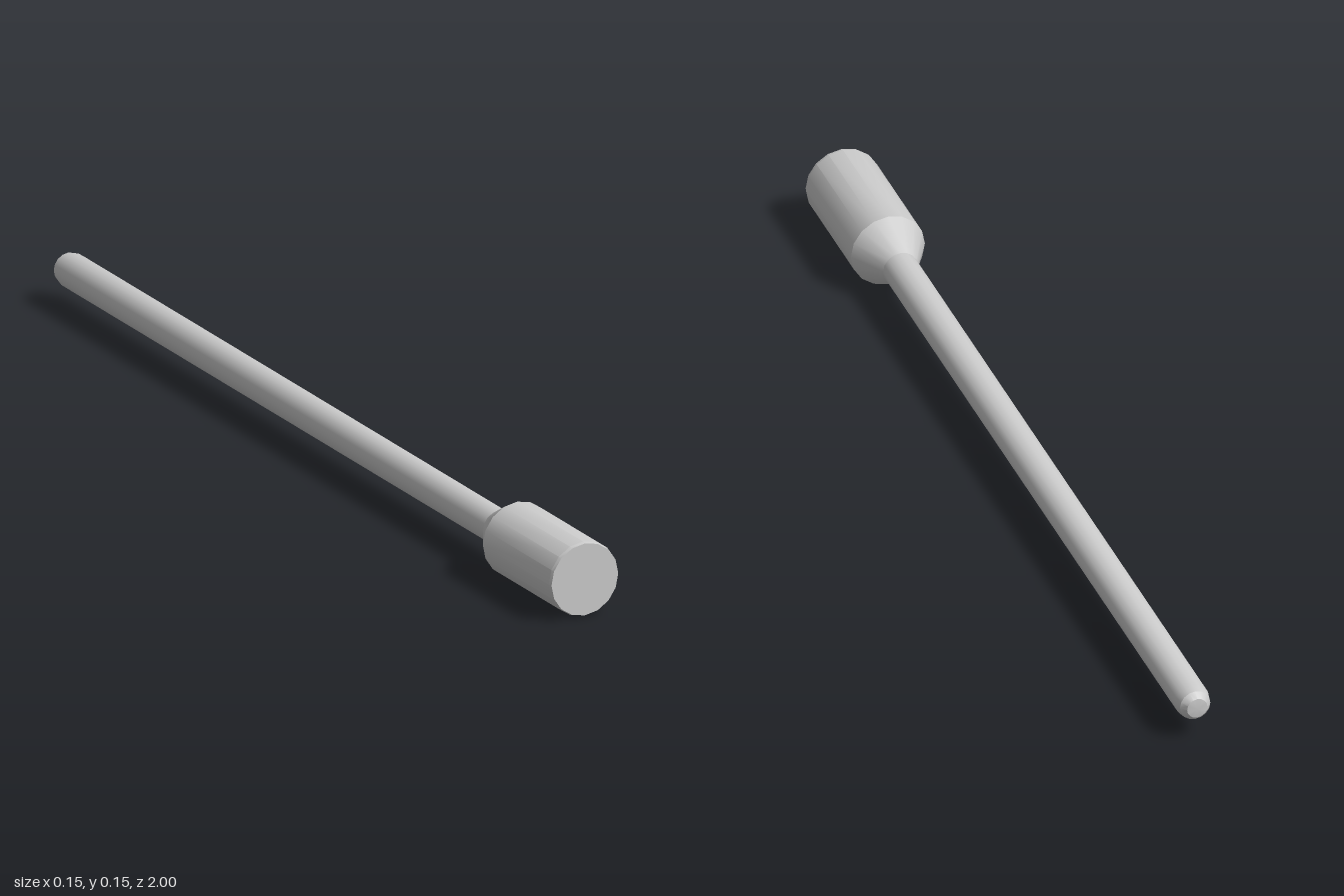
import * as THREE from 'three';
import { toCreasedNormals } from 'three/addons/utils/BufferGeometryUtils.js';

const SIDES = 16;

// Turned part along z, profile given as [radius, z] from back to front
function turned(name, profile, material) {
  const points = profile.map(([r, z]) => new THREE.Vector2(r, z));
  const geometry = new THREE.LatheGeometry(points, SIDES);
  geometry.rotateX(Math.PI / 2);
  const mesh = new THREE.Mesh(toCreasedNormals(geometry, 0.45), material);
  mesh.name = name;
  return mesh;
}

export function createModel() {
  const model = new THREE.Group();
  model.name = 'pin';
  const material = new THREE.MeshStandardMaterial({ color: 0xcccccc });

  // Slim rod with a rounded tip, running into the shoulder of the head
  const rod = turned('rod', [
    [0, -1], [0.02, -0.997], [0.03, -0.985], [0.034, -0.967], [0.034, 0.67],
  ], material);

  // Thick head: conical shoulder, straight barrel, small bevel and flat face
  const head = turned('head', [
    [0.034, 0.67], [0.073, 0.74], [0.073, 0.993], [0.071, 1], [0, 1],
  ], material);

  model.add(rod, head);

  // The whole pin droops very slightly toward the tip
  model.rotation.x = -0.003;
  model.position.y = 0.0715;
  return model;
}
